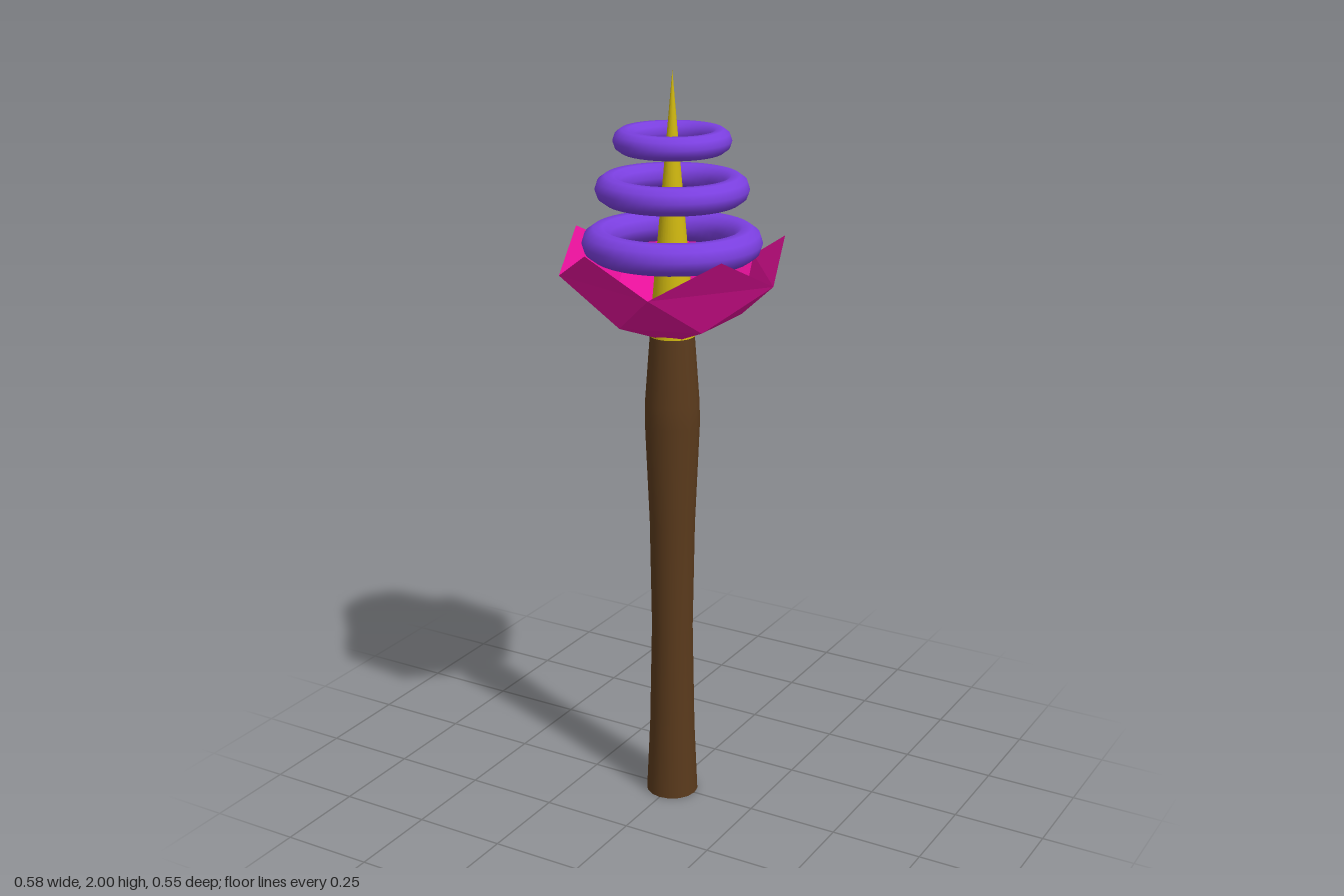
import * as THREE from 'three';

const mat = (color, extra = {}) => new THREE.MeshStandardMaterial({ color, ...extra });

// Point on a ring of the cup, in steps of 36 degrees
const at = (step, r, y) => {
  const a = step * Math.PI / 5;
  return [r * Math.cos(a), y, r * Math.sin(a)];
};

// Thin five-petalled cup: kite petals joined by triangles, closed by a shallow cone
function cupGeometry() {
  const low = s => at(s, 0.29, 1.485);
  const peak = s => at(s, 0.29, 1.575);
  const ring = s => at(s, 0.18, 1.37);
  const pole = [0, 1.3, 0];
  const pos = [];
  for (let i = 0; i < 5; i++) {
    const s = i * 2;
    pos.push(...ring(s + 1), ...low(s), ...low(s + 2));
    pos.push(...low(s), ...peak(s + 1), ...low(s + 2));
    pos.push(...low(s), ...ring(s + 1), ...ring(s - 1));
    pos.push(...ring(s + 1), ...pole, ...ring(s - 1));
  }
  const g = new THREE.BufferGeometry();
  g.setAttribute('position', new THREE.Float32BufferAttribute(pos, 3));
  g.computeVertexNormals();
  return g;
}

export function createModel() {
  const group = new THREE.Group();
  const add = (name, geometry, material, y = 0) => {
    const mesh = new THREE.Mesh(geometry, material);
    mesh.name = name;
    mesh.position.y = y;
    group.add(mesh);
    return mesh;
  };

  // Turned wooden handle, with flat ends
  const wood = mat(0x5a3a1c);
  const profile = [[0.071, 0], [0.062, 0.2], [0.056, 0.5], [0.061, 0.8],
    [0.073, 1.08], [0.072, 1.14], [0.058, 1.33]].map(p => new THREE.Vector2(...p));
  add('handle', new THREE.LatheGeometry(profile, 16), wood);
  add('handleBase', new THREE.CircleGeometry(0.071, 16), wood).rotation.set(Math.PI / 2, 0, Math.PI / 2);

  // Petal cup
  add('petalCup', cupGeometry(), mat(0xe6109a, { flatShading: true, side: THREE.DoubleSide }));

  // Golden spike
  add('spike', new THREE.ConeGeometry(0.06, 0.68, 32), mat(0xd0b810), 1.66);

  // Floating rings: height, radius, thickness
  const purple = mat(0x7b3fe0);
  for (const [y, R, r] of [[1.565, 0.19, 0.041], [1.703, 0.16, 0.036], [1.825, 0.12, 0.03]]) {
    add('floatingRing', new THREE.TorusGeometry(R, r, 10, 40), purple, y).rotation.x = Math.PI / 2;
  }
  return group;
}
